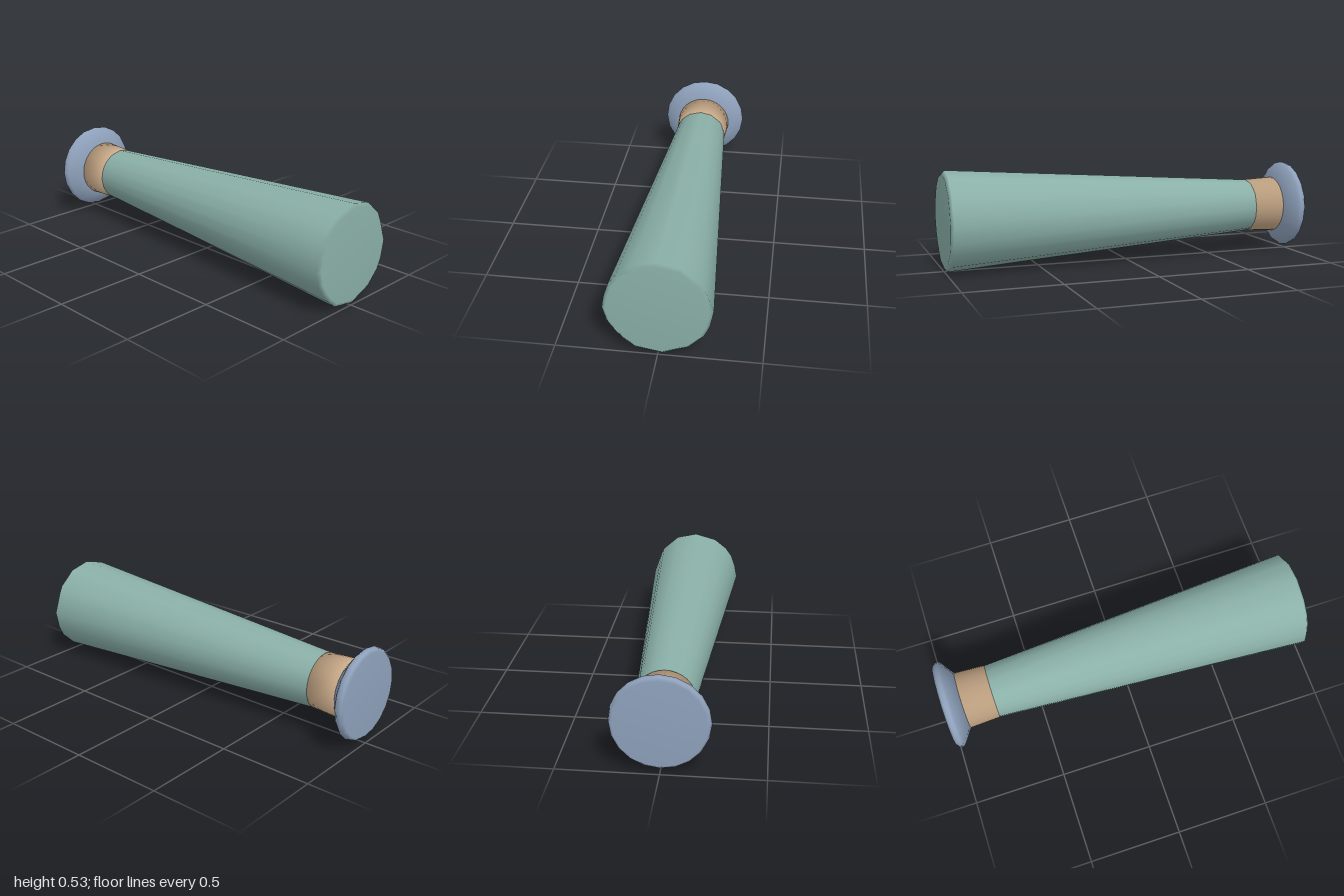
import * as THREE from 'three';

const AXIS_Y = 0.266;

// Smooth solid of revolution along z; profile is [radius, z] from back to front.
function turned(profile, sides) {
  const points = profile.map(([r, z]) => new THREE.Vector2(r, z));
  return new THREE.LatheGeometry(points, sides).rotateX(Math.PI / 2);
}

// Uneven rim of the barrel, counter-clockwise from the bottom, around the axis.
const RIM = [
  [0.02, -0.264], [0.143, -0.216], [0.217, -0.144], [0.245, -0.086], [0.263, 0.009],
  [0.222, 0.124], [0.205, 0.159], [0.115, 0.237], [0, 0.262], [-0.12, 0.229],
  [-0.19, 0.174], [-0.228, 0.121], [-0.25, 0.054], [-0.263, -0.014], [-0.243, -0.091],
  [-0.205, -0.151], [-0.165, -0.196], [-0.11, -0.241],
];

// Tapered barrel: round at the back, faceted toward the closed front.
function barrelGeometry() {
  const profile = [[0.146, -0.735], [0.264, 0.985], [0.246, 1], [0, 1]];
  const geometry = turned(profile, RIM.length);
  const pos = geometry.attributes.position;
  const nor = geometry.attributes.normal;
  for (let i = 0; i < pos.count; i++) {
    const side = Math.floor(i / profile.length) % RIM.length;
    const row = i % profile.length;
    const [x, y] = RIM[side];
    const length = Math.hypot(x, y);
    const scale = profile[row][0] / (row === 0 ? length : 0.264);
    pos.setXY(i, x * scale, y * scale);
    const tilt = Math.hypot(nor.getX(i), nor.getY(i));
    if (row < 3) nor.setXY(i, (x / length) * tilt, (y / length) * tilt);
  }
  return geometry;
}

export function createModel() {
  const group = new THREE.Group();
  const paint = (name, color) => {
    const material = new THREE.MeshStandardMaterial({ color });
    material.name = name;
    return material;
  };
  const add = (name, geometry, material) => {
    const mesh = new THREE.Mesh(geometry, material);
    mesh.name = name;
    mesh.position.y = AXIS_Y;
    group.add(mesh);
  };

  add('barrel', barrelGeometry(), paint('sage green', 0x8ab0a8));

  // Short collar between the barrel and the end flange
  add('collar', turned([[0, -0.9], [0.155, -0.9], [0.147, -0.735], [0, -0.735]], 32),
    paint('tan', 0xc8a988));

  // Flared end flange with a rounded rim
  add('endFlange', turned([
    [0, -1], [0.222, -1], [0.236, -0.987], [0.241, -0.968], [0.228, -0.952],
    [0.155, -0.9], [0, -0.9],
  ], 20), paint('slate blue', 0x8fa2bc));

  return group;
}
